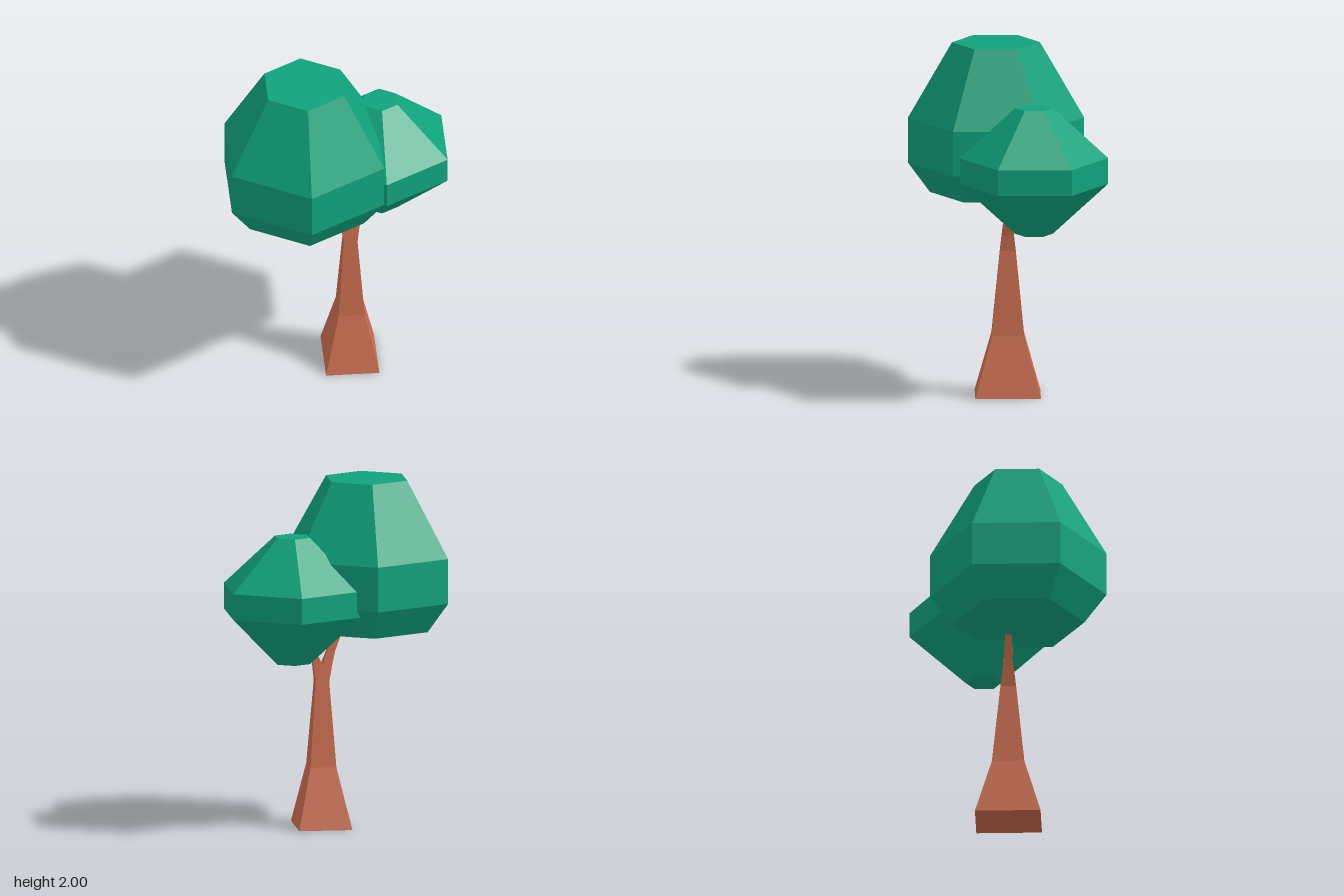
import * as THREE from 'three';

const bark = new THREE.MeshStandardMaterial({ color: 0xcb6e50, flatShading: true });
const leaf = new THREE.MeshStandardMaterial({ color: 0x10a27c, flatShading: true });

// Four-sided limb: each section is [y, xMin, xMax, zMin, zMax], from bottom to top
function limb(name, sections) {
  const n = sections.length - 1;
  const geometry = new THREE.BoxGeometry(1, 1, 1, 1, n, 1);
  const p = geometry.attributes.position;
  for (let i = 0; i < p.count; i++) {
    const [y, x0, x1, z0, z1] = sections[Math.round((p.getY(i) + 0.5) * n)];
    p.setXYZ(i, p.getX(i) < 0 ? x0 : x1, y, p.getZ(i) < 0 ? z0 : z1);
  }
  geometry.computeVertexNormals();
  const mesh = new THREE.Mesh(geometry, bark);
  mesh.name = name;
  return mesh;
}

// Six-sided leaf mass: rings are [radius, y], closed flat at both ends
function crown(name, x, z, rings) {
  const profile = [[0, rings[0][1]], ...rings, [0, rings.at(-1)[1]]];
  const geometry = new THREE.LatheGeometry(profile.map(([r, y]) => new THREE.Vector2(r, y)), 6);
  const mesh = new THREE.Mesh(geometry, leaf);
  mesh.name = name;
  mesh.position.set(x, 0, z);
  return mesh;
}

export function createModel() {
  const tree = new THREE.Group();
  tree.name = 'tree';

  // Flared trunk
  tree.add(limb('trunk', [
    [0, -0.08, 0.226, -0.188, 0.188],
    [0.35, 0, 0.15, -0.093, 0.093],
    [0.84, 0.035, 0.113, -0.045, 0.045],
  ]));

  // Fork: two branches meeting at the crotch and running into the crowns
  tree.add(limb('rightBranch', [
    [0.84, 0.035, 0.074, -0.045, 0.045],
    [0.937, 0.016, 0.074, -0.033, 0.033],
    [1.01, 0, 0.045, -0.024, 0.024],
    [1.2, -0.07, -0.03, -0.012, 0.022],
  ]));
  tree.add(limb('leftBranch', [
    [0.84, 0.074, 0.113, -0.045, 0.045],
    [0.937, 0.074, 0.125, -0.034, 0.033],
    [1.03, 0.114, 0.148, -0.03, 0.02],
    [1.15, 0.165, 0.19, -0.045, -0.01],
  ]));

  // Leaf crowns
  tree.add(crown('largeCrown', -0.195, 0.064, [[0.378, 1.128], [0.505, 1.3], [0.505, 1.56], [0.252, 2]]));
  tree.add(crown('smallCrown', 0.261, -0.147, [[0.108, 0.97], [0.425, 1.26], [0.425, 1.41], [0.108, 1.703]]));

  return tree;
}
